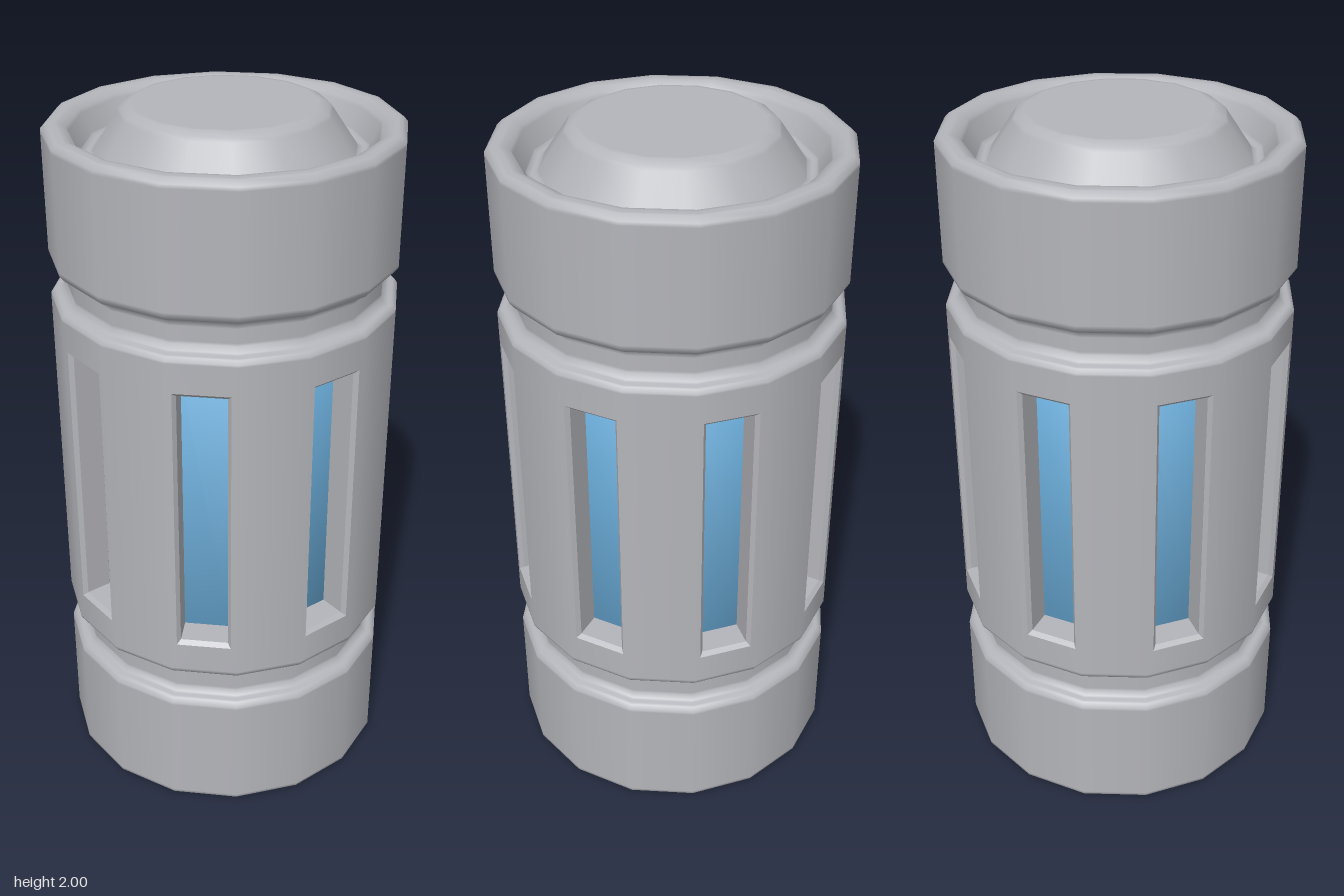
import * as THREE from 'three';

const SIDES = 16, R = 0.485, STEP = (Math.PI * 2) / SIDES;

// Profile with every inner corner bevelled and held by support points, so flats stay flat
function bevelled(corners, b = 0.01) {
  const pts = corners.map(([x, y]) => new THREE.Vector2(x, y));
  const out = [pts[0]];
  for (let i = 1; i < pts.length - 1; i++) {
    const p = pts[i];
    const back = pts[i - 1].clone().sub(p), ahead = pts[i + 1].clone().sub(p);
    const near = Math.min(b, back.length() * 0.25, ahead.length() * 0.25);
    back.normalize();
    ahead.normalize();
    for (const k of [1.8, 1]) out.push(p.clone().addScaledVector(back, near * k));
    for (const k of [1, 1.8]) out.push(p.clone().addScaledVector(ahead, near * k));
  }
  out.push(pts[pts.length - 1]);
  return out;
}

// Sixteen-sided wall in which every second face has a bevelled slot
function slottedWall(y0, y1) {
  const pos = [], nor = [];
  const apothem = R * Math.cos(STEP / 2), half = R * Math.sin(STEP / 2);

  const quad = (pts, round) => {
    const n = pts[1].clone().sub(pts[0]).cross(pts[3].clone().sub(pts[0])).normalize();
    for (const i of [0, 1, 2, 0, 2, 3]) {
      const p = pts[i];
      pos.push(p.x, p.y, p.z);
      const m = round ? new THREE.Vector3(p.x, 0, p.z).normalize() : n;
      nor.push(m.x, m.y, m.z);
    }
  };

  for (let s = 0; s < SIDES; s++) {
    const a = (s + 0.5) * STEP, sin = Math.sin(a), cos = Math.cos(a);
    const loop = (w, lo, hi, depth) =>
      [[-w, lo], [w, lo], [w, hi], [-w, hi]].map(([t, y]) => {
        const r = apothem - depth;
        return new THREE.Vector3(sin * r + cos * t, y, cos * r - sin * t);
      });
    const face = loop(half, y0, y1, 0);
    if (s % 2) {
      quad(face, true);
      continue;
    }
    const loops = [
      face,
      loop(0.077, 0.577, 1.383, 0),
      loop(0.067, 0.588, 1.372, 0.012),
      loop(0.067, 0.588, 1.372, 0.1),
    ];
    for (let k = 0; k < 3; k++) {
      for (let i = 0; i < 4; i++) {
        const j = (i + 1) % 4;
        quad([loops[k][i], loops[k][j], loops[k + 1][j], loops[k + 1][i]], k === 0);
      }
    }
  }
  const g = new THREE.BufferGeometry();
  g.setAttribute('position', new THREE.Float32BufferAttribute(pos, 3));
  g.setAttribute('normal', new THREE.Float32BufferAttribute(nor, 3));
  return g;
}

export function createModel() {
  const metal = new THREE.MeshStandardMaterial({ color: 0xb4b5ba });
  metal.name = 'grey metal';
  const blue = new THREE.MeshStandardMaterial({ color: 0x6eb2e0 });
  blue.name = 'blue core';

  const group = new THREE.Group();
  group.name = 'canister';
  const add = (name, geometry, material) => {
    const mesh = new THREE.Mesh(geometry, material);
    mesh.name = name;
    group.add(mesh);
  };
  const turned = (corners, b) => new THREE.LatheGeometry(bevelled(corners, b), SIDES);

  // Lower cap: recessed underside, rim, side, groove and start of the middle wall
  add('lowerCap', turned([
    [0, 0.08], [0.385, 0.08], [0.42, 0], [R, 0], [R, 0.37],
    [0.443, 0.383], [0.443, 0.465], [R, 0.478], [R, 0.51],
  ]), metal);

  // Middle wall with eight slots
  add('slottedWall', slottedWall(0.51, 1.45), metal);

  // Upper cap: groove, side, rim, sunken ring and raised lid
  add('upperCap', turned([
    [R, 1.45], [R, 1.482], [0.443, 1.495], [0.443, 1.575], [R, 1.588],
    [R, 1.952], [0.425, 1.952], [0.38, 1.87], [0.358, 1.87], [0.27, 2], [0, 2],
  ], 0.014), metal);

  // Glowing core; shared rim normals shade it softly from end to end
  const core = [[0, 0.52], [0.395, 0.52], [0.395, 1.44], [0, 1.44]];
  add('core', new THREE.LatheGeometry(core.map(([x, y]) => new THREE.Vector2(x, y)), SIDES), blue);

  return group;
}
